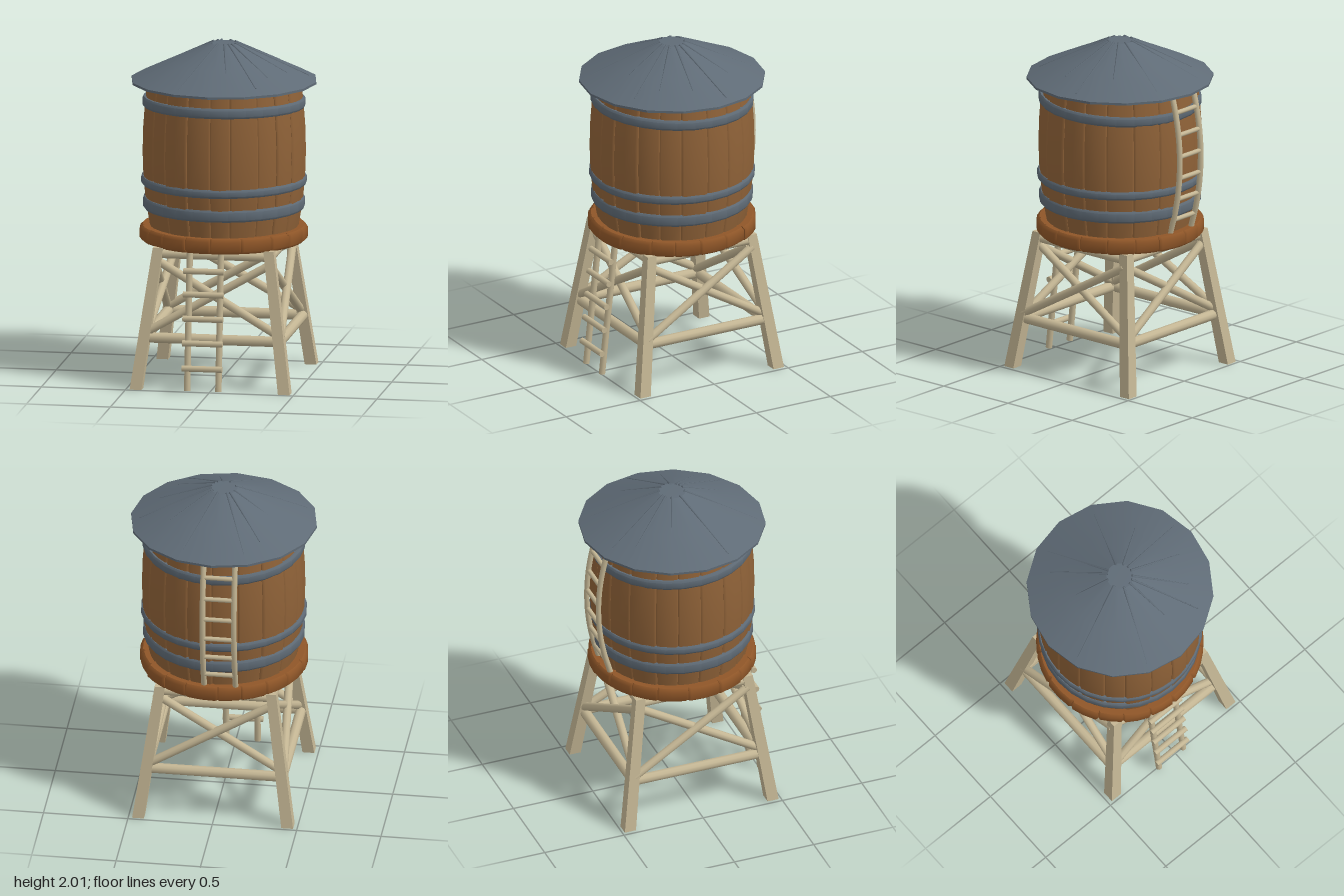
import * as THREE from 'three';
import { toCreasedNormals } from 'three/addons/utils/BufferGeometryUtils.js';

const mat = (name, color) => {
  const m = new THREE.MeshStandardMaterial({ color });
  m.name = name;
  return m;
};

export function createModel() {
  const model = new THREE.Group();
  model.name = 'waterTower';
  const staveWood = mat('stave wood', 0x8f6238);
  const deckWood = mat('deck wood', 0x8f5628);
  const paleWood = mat('pale wood', 0xc4b694);
  const metal = mat('grey metal', 0x5f6b76);

  let seed = 7;
  const rand = () => (seed = (seed * 16807) % 2147483647) / 2147483647;
  const V = (x, y, z) => new THREE.Vector3(x, y, z);

  const add = (parent, name, geo, material) => {
    const mesh = new THREE.Mesh(geo, material);
    mesh.name = name;
    parent.add(mesh);
    return mesh;
  };
  const group = (name) => {
    const g = new THREE.Group();
    g.name = name;
    model.add(g);
    return g;
  };

  // Round bar between two points
  const bar = (parent, name, a, b, r0, r1 = r0, material = paleWood, sides = 10) => {
    const d = b.clone().sub(a);
    const geo = new THREE.CylinderGeometry(r1, r0, d.length(), sides);
    const mesh = add(parent, name, geo, material);
    mesh.position.copy(a).add(b).multiplyScalar(0.5);
    mesh.quaternion.setFromUnitVectors(V(0, 1, 0), d.normalize());
    return mesh;
  };

  // Box bent round the axis: outer face follows a [radius, y] profile, with softened side edges
  const wedge = (angle, width, profile, inner, bevel, offset) => {
    const n = profile.length - 1;
    const geo = new THREE.BoxGeometry(1, 1, 1, 4, n, 1);
    const p = geo.attributes.position;
    for (let i = 0; i < p.count; i++) {
      const u = p.getX(i);
      const [r, y] = profile[Math.round((p.getY(i) + 0.5) * n)];
      const edge = Math.abs(u) > 0.4;
      const a = angle + width * (Math.abs(u) > 0.2 && !edge ? Math.sign(u) * 0.42 : u);
      const rad = p.getZ(i) > 0 ? r + offset - (edge ? bevel : 0) : inner;
      p.setXYZ(i, rad * Math.sin(a), y, rad * Math.cos(a));
    }
    geo.computeVertexNormals();
    return geo;
  };

  // Ring of wedges with uneven widths
  const ring = (parent, name, count, profile, inner, bevel, jitter, material) => {
    const widths = Array.from({ length: count }, () => 0.8 + 0.4 * rand());
    const total = widths.reduce((s, w) => s + w, 0);
    let a = 0;
    for (const w of widths) {
      const size = (w / total) * Math.PI * 2;
      add(parent, name, wedge(a + size / 2, size, profile, inner, bevel, (rand() - 0.5) * jitter), material);
      a += size;
    }
  };

  // Barrel
  const barrel = group('barrel');
  const barrelProfile = [[0.435, 0.9], [0.461, 1.05], [0.475, 1.2], [0.48, 1.35],
    [0.476, 1.5], [0.465, 1.65], [0.445, 1.81]];
  ring(barrel, 'stave', 20, barrelProfile, 0.38, 0.01, 0.01, staveWood);

  // Metal hoops, the top one slightly tilted
  const hoops = group('hoops');
  for (const [y, r, h, tilt] of [[1.65, 0.48, 0.06, -0.035], [1.185, 0.488, 0.05, 0], [1.05, 0.476, 0.07, 0]]) {
    const k = h / 2;
    const section = [[r - 0.04, -k], [r - 0.008, -k], [r, -k + 0.012], [r, k - 0.012], [r - 0.008, k], [r - 0.04, k]];
    const geo = new THREE.LatheGeometry(section.map(([x, v]) => new THREE.Vector2(x, v)), 28);
    const hoop = add(hoops, 'hoop', toCreasedNormals(geo, 0.6), metal);
    hoop.position.y = y;
    hoop.rotation.x = tilt;
  }

  // Roof: sixteen-sided cone with a flat cap and raised folds
  const roof = group('roof');
  const roofProfile = [[0, 1.98], [0.53, 1.773], [0.55, 1.768], [0.55, 1.782], [0.32, 1.89], [0.08, 1.998], [0, 2]];
  const roofGeo = new THREE.LatheGeometry(roofProfile.map(([x, y]) => new THREE.Vector2(x, y)), 16);
  add(roof, 'roofCone', toCreasedNormals(roofGeo, 0.35), metal);
  for (const [deg, end] of [[158, 0.48], [100, 0.5], [-70, 0.5], [-158, 0.48], [-22, 0.5], [33, 0.48],
    [50, 0.4], [12, 0.33], [-112, 0.35], [125, 0.36], [-142, 0.42], [78, 0.4]]) {
    const a = deg * Math.PI / 180;
    const at = (r) => V(r * Math.sin(a), 1.996 - (r - 0.08) * 0.46, r * Math.cos(a));
    bar(roof, 'roofFold', at(0.07), at(end), 0.008, 0.003, metal, 6);
  }

  // Round deck made of blocks
  const deck = group('deck');
  ring(deck, 'deckBlock', 18, [[0.472, 0.825], [0.492, 0.843], [0.492, 0.898], [0.474, 0.915]], 0.3, 0.012, 0.012, deckWood);
  add(deck, 'deckCentre', new THREE.CylinderGeometry(0.4, 0.4, 0.075, 24), deckWood).position.y = 0.87;

  // Splayed square legs
  const frame = group('frame');
  const spread = (y) => 0.442 - 0.135 * y;
  for (const sx of [-1, 1]) for (const sz of [-1, 1]) {
    const geo = new THREE.BoxGeometry(1, 0.83, 1);
    const p = geo.attributes.position;
    for (let i = 0; i < p.count; i++) {
      const y = p.getY(i) + 0.415;
      const w = y > 0.4 ? 0.06 : 0.07;
      p.setXYZ(i, p.getX(i) * w + sx * spread(y), y, p.getZ(i) * w + sz * (spread(y) + 0.008));
    }
    geo.computeVertexNormals();
    add(frame, 'leg', geo, paleWood);
  }

  // Rails and cross braces on each of the four sides
  for (let side = 0; side < 4; side++) {
    const panel = new THREE.Group();
    panel.name = 'sideBracing';
    panel.rotation.y = side * Math.PI / 2;
    frame.add(panel);
    const at = (s, y, out = 0) => V(s * spread(y), y, spread(y) + out);
    bar(panel, 'lowerRail', at(-1, 0.3), at(1, 0.3), 0.031);
    bar(panel, 'upperRail', at(-1, 0.79), at(1, 0.79), 0.026);
    for (const s of [-1, 1]) bar(panel, 'crossBrace', at(-s, 0.33, s * 0.01), at(s, 0.75, s * 0.01), 0.025);
  }

  // Leaning front ladder with rungs fixed outside its rails
  const frontLadder = group('frontLadder');
  const lean = (y) => 0.505 - 0.108 * y;
  for (const x of [-0.13, 0.056]) bar(frontLadder, 'ladderRail', V(x, 0.01, lean(0)), V(x, 0.83, lean(0.83)), 0.019);
  for (const y of [0.145, 0.293, 0.437, 0.58, 0.717]) {
    bar(frontLadder, 'rung', V(-0.16, y, lean(y) + 0.028), V(0.08, y, lean(y) + 0.028), 0.018);
  }

  // Curved back ladder following the barrel
  const backLadder = group('backLadder');
  const curve = (y) => -0.515 + 0.37 * (y - 1.36) ** 2;
  for (const x of [-0.13, 0.056]) {
    const points = [0.91, 1.06, 1.21, 1.36, 1.51, 1.66, 1.79].map((y) => V(x, y, curve(y)));
    const path = new THREE.CatmullRomCurve3(points);
    add(backLadder, 'ladderRail', new THREE.TubeGeometry(path, 20, 0.017, 8), paleWood);
  }
  for (let i = 0; i < 6; i++) {
    const y = 1 + i * 0.132;
    bar(backLadder, 'rung', V(-0.13, y, curve(y)), V(0.056, y, curve(y)), 0.014);
  }

  return model;
}
